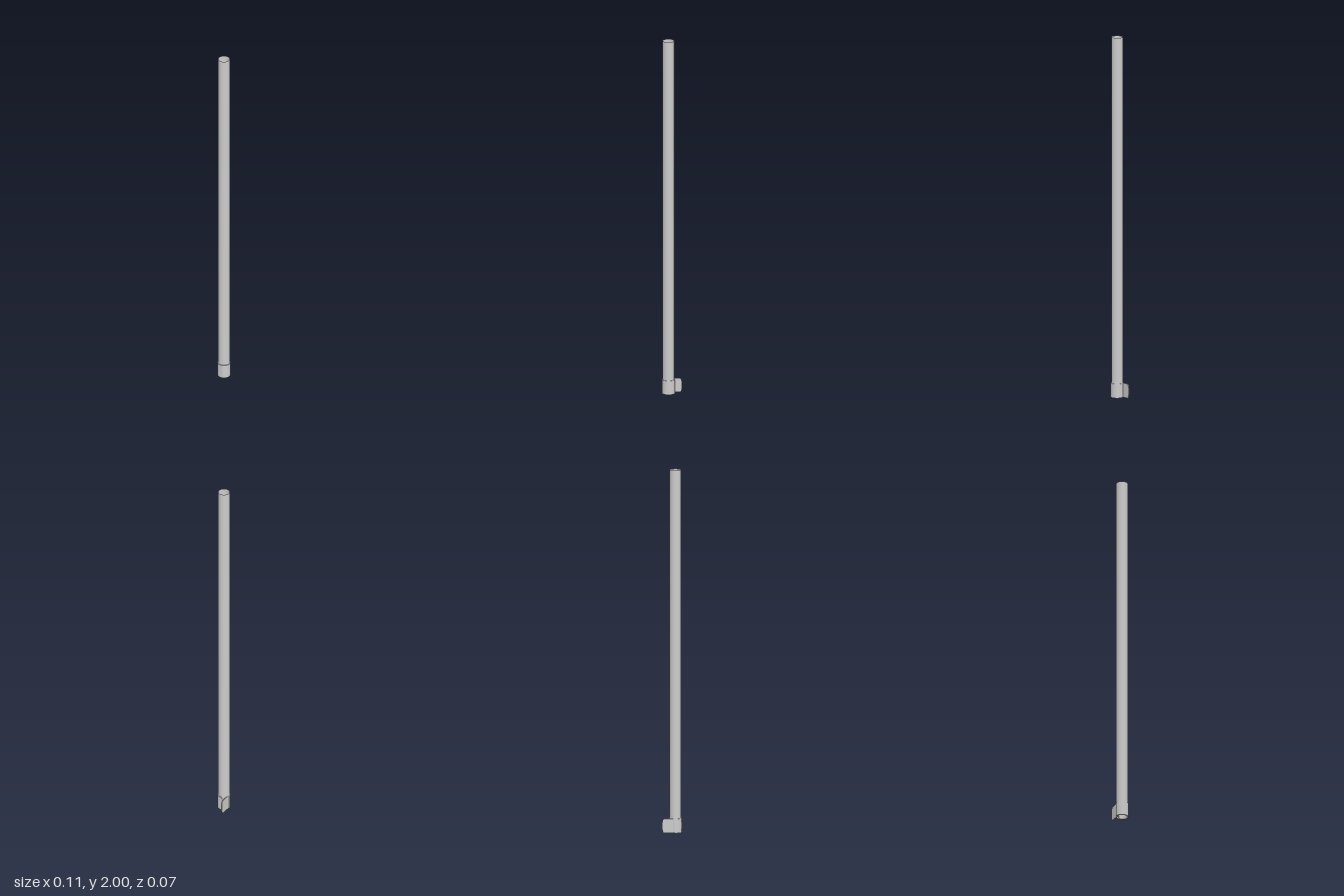
import * as THREE from 'three';
import { toCreasedNormals } from 'three/addons/utils/BufferGeometryUtils.js';

const AXIS_X = -0.0185; // pole axis, offset so the open flap balances the width
const HEIGHT = 0.079;   // height of collar and flap

const material = new THREE.MeshStandardMaterial({ color: 0xcccccc, side: THREE.DoubleSide });

// Bends a unit block: place(u, v, w) returns [x, y, z] with u, v, w in 0..1
function bentBlock(name, segU, segV, place) {
  const geo = new THREE.BoxGeometry(1, 1, 1, segU, segV, 1);
  const pos = geo.attributes.position;
  for (let i = 0; i < pos.count; i++) {
    pos.setXYZ(i, ...place(pos.getX(i) + 0.5, pos.getY(i) + 0.5, pos.getZ(i) + 0.5));
  }
  const mesh = new THREE.Mesh(toCreasedNormals(geo, 0.6), material);
  mesh.name = name;
  return mesh;
}

// Rounded free edge: 0 at top and bottom, 1 at mid height
const bulge = (v) => Math.sqrt(1 - Math.pow(Math.abs(2 * v - 1), 2.5));

export function createModel() {
  const model = new THREE.Group();
  model.name = 'poleWithCollar';

  // Long, thin-walled open tube
  const pole = new THREE.Mesh(new THREE.CylinderGeometry(0.0318, 0.0318, 2, 48, 1, true), material);
  pole.name = 'pole';
  pole.position.set(AXIS_X, 1, 0);
  model.add(pole);

  // Three-quarter collar round the foot, its free end rounded
  model.add(bentBlock('collar', 48, 12, (u, v, w) => {
    const start = -Math.PI;
    const end = Math.PI / 2 + 0.25 * bulge(v);
    const t = start + (end - start) * u;
    const r = 0.0285 + 0.007 * w;
    return [AXIS_X + r * Math.sin(t), v * HEIGHT, r * Math.cos(t)];
  }));

  // Flat flap standing open from the back of the collar
  model.add(bentBlock('flap', 4, 12, (u, v, w) => {
    const end = 0.044 + 0.01 * bulge(v);
    return [AXIS_X + (end - AXIS_X) * u, v * HEIGHT, -0.029 + 0.0055 * w];
  }));

  return model;
}
